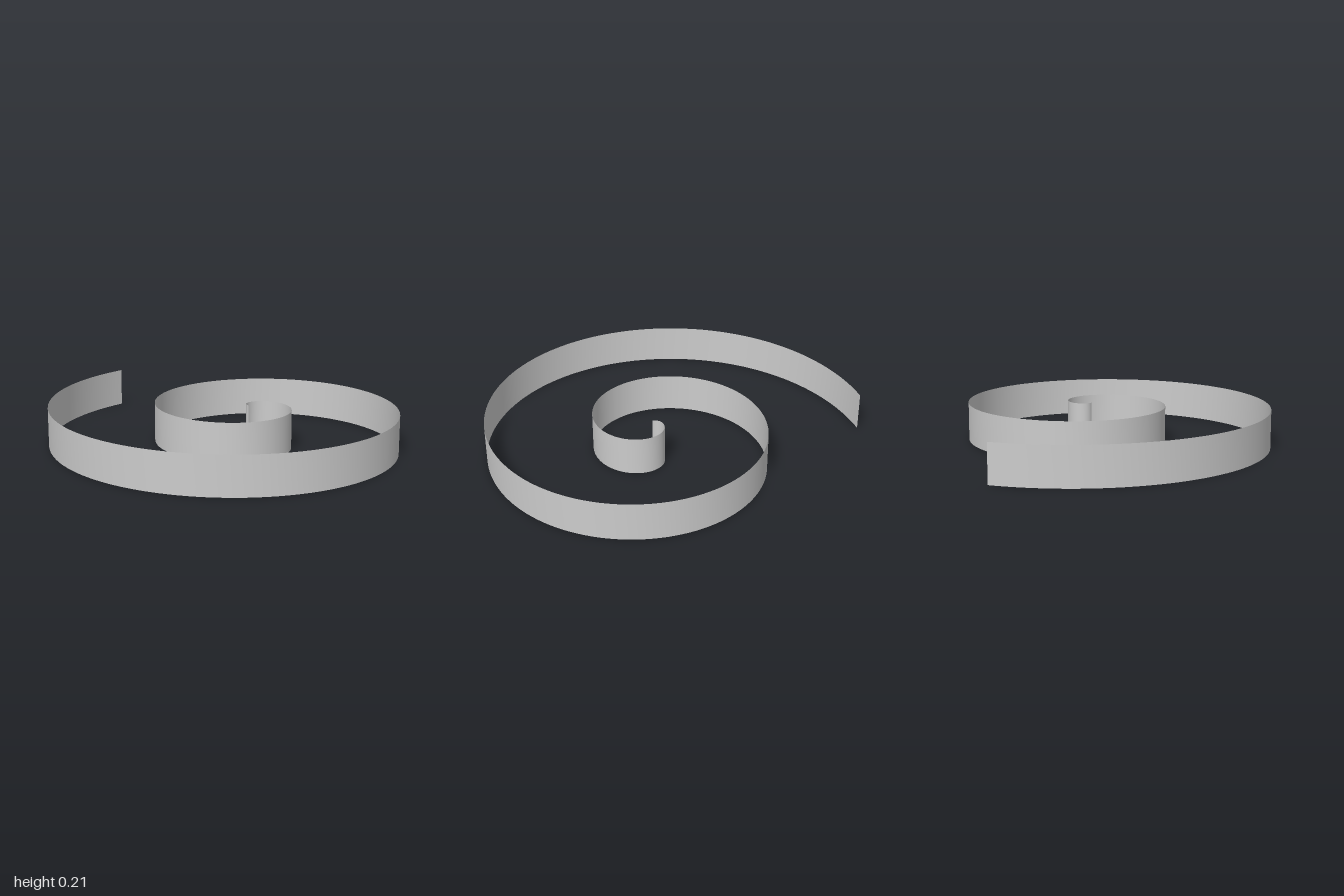
import * as THREE from 'three';

const HEIGHT = 0.207;
const TURNS = 2;
const GROWTH = 0.0909; // radius gained per radian
const START = THREE.MathUtils.degToRad(260); // direction of both ribbon ends
const SEGMENTS = 256;

// Thin upright ribbon bent along an Archimedean spiral
function spiralRibbon() {
  const geometry = new THREE.PlaneGeometry(1, HEIGHT, SEGMENTS, 1);
  const pos = geometry.attributes.position;
  for (let i = 0; i < pos.count; i++) {
    const theta = (pos.getX(i) + 0.5) * TURNS * Math.PI * 2;
    const r = GROWTH * theta;
    pos.setX(i, r * Math.cos(START + theta));
    pos.setZ(i, r * Math.sin(START + theta));
  }
  geometry.center();
  geometry.translate(0, HEIGHT / 2, 0);
  geometry.computeVertexNormals();
  return geometry;
}

export function createModel() {
  const group = new THREE.Group();
  const material = new THREE.MeshStandardMaterial({ color: 0xcccccc, side: THREE.DoubleSide });
  const ribbon = new THREE.Mesh(spiralRibbon(), material);
  ribbon.name = 'spiralRibbon';
  group.add(ribbon);
  return group;
}
